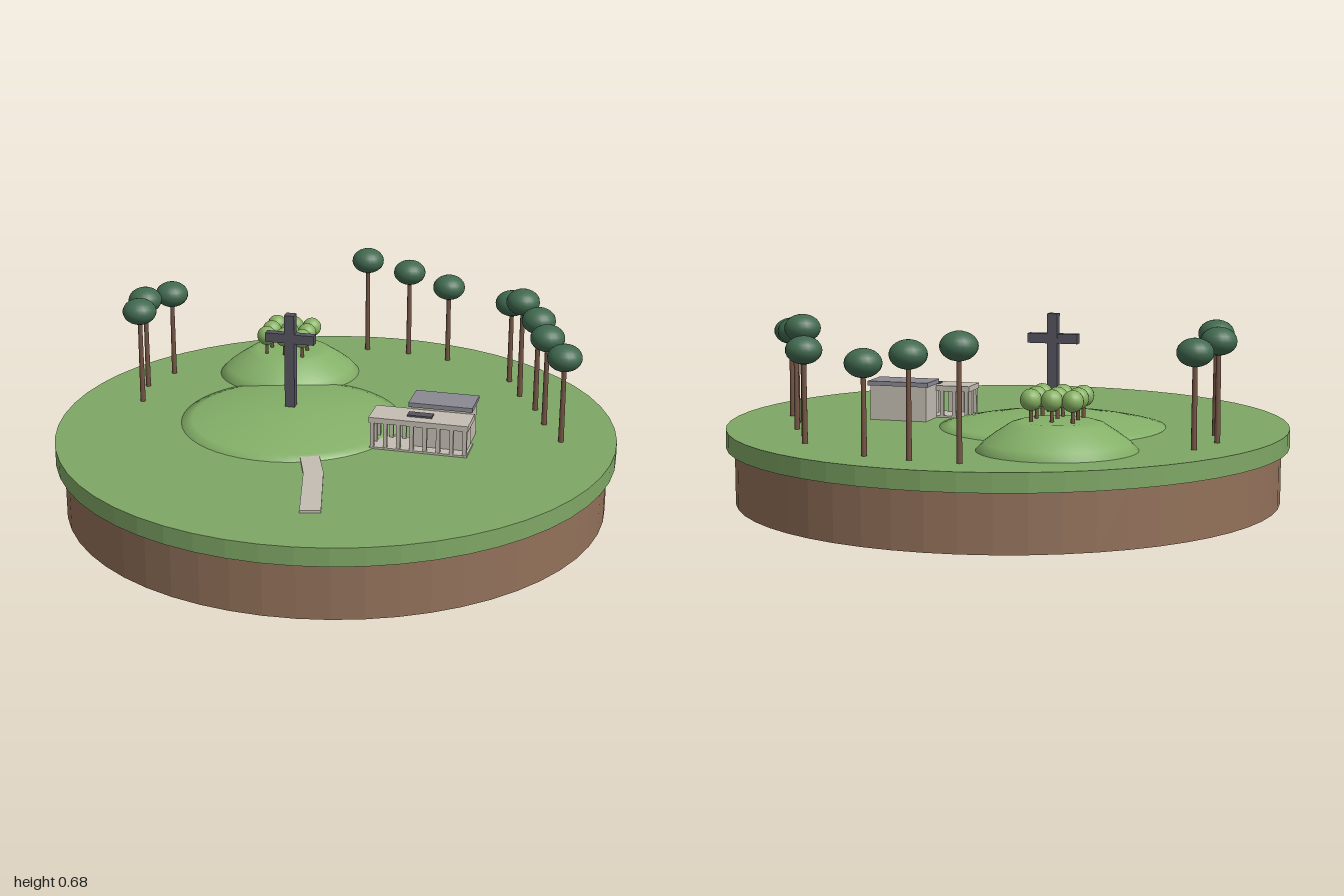
import * as THREE from 'three';

const mat = (name, color) => {
  const m = new THREE.MeshStandardMaterial({ color });
  m.name = name;
  return m;
};

export function createModel() {
  const M = {
    grass: mat('grass green', 0x7fa765),
    mound: mat('mound green', 0x84b068),
    soil: mat('soil brown', 0x92715a),
    trunk: mat('trunk brown', 0x745544),
    leaf: mat('dark leaf green', 0x41694f),
    bush: mat('bush green', 0x86b062),
    stone: mat('pale stone', 0xc4bdb2),
    roof: mat('roof grey', 0x8b8a93),
    dark: mat('dark grey', 0x56545f),
  };
  const GROUND = 0.265;
  const model = new THREE.Group();
  model.name = 'hilltopMemorial';

  const add = (parent, name, geo, material, x = 0, y = 0, z = 0) => {
    const mesh = new THREE.Mesh(geo, material);
    mesh.name = name;
    mesh.position.set(x, y, z);
    parent.add(mesh);
    return mesh;
  };
  const group = (name, x, y, z, turn = 0) => {
    const g = new THREE.Group();
    g.name = name;
    g.position.set(x, y, z);
    g.rotation.y = turn;
    model.add(g);
    return g;
  };
  // Box given by its bottom and top heights
  const block = (parent, name, w, d, y0, y1, material, x = 0, z = 0) =>
    add(parent, name, new THREE.BoxGeometry(w, y1 - y0, d), material, x, (y0 + y1) / 2, z);
  // Faceted disc
  const disc = (name, r, y0, y1, material) => {
    const geo = new THREE.CylinderGeometry(r, r, y1 - y0, 56).toNonIndexed();
    geo.computeVertexNormals();
    add(model, name, geo, material, 0, (y0 + y1) / 2, 0);
  };

  // Round island
  disc('soilBase', 0.97, 0, 0.2, M.soil);
  disc('grassTop', 1, 0.2, GROUND, M.grass);

  // Mounds, with a hidden skirt that rounds the rim
  const mound = (name, profile, x, z, sx, sz) => {
    const points = profile.map(([r, y]) => new THREE.Vector2(r, y));
    add(model, name, new THREE.LatheGeometry(points, 48), M.mound, x, 0, z).scale.set(sx, 1, sz);
  };
  mound('wideMound', [[0.4, 0.23], [0.4, 0.266], [0.36, 0.276], [0.29, 0.29], [0.2, 0.304], [0.1, 0.316], [0, 0.32]],
    -0.152, -0.092, 1, 1);
  mound('backHill', [[0.26, 0.22], [0.26, 0.266], [0.235, 0.293], [0.2, 0.32], [0.15, 0.354], [0.12, 0.363], [0, 0.367]],
    -0.123, -0.598, 1.03, 0.95);

  // Cross on the wide mound
  const turn = -0.35;
  const cross = group('cross', -0.154, 0, -0.094, turn);
  block(cross, 'post', 0.036, 0.036, 0.28, 0.665, M.dark);
  block(cross, 'crossbar', 0.18, 0.03, 0.56, 0.594, M.dark);

  // Pavilion: flat-roofed colonnade with a taller block behind
  const house = group('pavilion', 0.28, 0, 0.21, turn);
  block(house, 'colonnadeFloor', 0.345, 0.118, GROUND - 0.01, 0.272, M.stone);
  block(house, 'colonnadeRoof', 0.352, 0.122, 0.362, 0.382, M.stone);
  block(house, 'innerRoom', 0.2, 0.07, 0.27, 0.364, M.stone, 0.065, -0.02);
  block(house, 'skylight', 0.088, 0.036, 0.38, 0.388, M.dark, -0.004, 0.002);
  for (let i = 0; i < 8; i++) {
    const x = -0.164 + (i * 0.328) / 7;
    block(house, 'frontColumn', 0.014, 0.014, 0.27, 0.364, M.stone, x, 0.05);
    if (i < 3) block(house, 'backColumn', 0.014, 0.014, 0.27, 0.364, M.stone, x, -0.05);
  }
  block(house, 'sideColumn', 0.014, 0.014, 0.27, 0.364, M.stone, -0.164, 0);
  block(house, 'rearBlock', 0.212, 0.118, GROUND - 0.01, 0.392, M.stone, 0.055, -0.116);
  block(house, 'rearRoof', 0.228, 0.13, 0.39, 0.406, M.roof, 0.055, -0.116);

  // Bent footpath
  const path = new THREE.Shape([
    [-0.15, 0.28], [-0.083, 0.28], [-0.081, 0.42], [-0.116, 0.73], [-0.186, 0.724], [-0.15, 0.42],
  ].map(([x, z]) => new THREE.Vector2(x, -z)));
  const pathGeo = new THREE.ExtrudeGeometry(path, { depth: 0.014, bevelEnabled: false });
  pathGeo.rotateX(-Math.PI / 2);
  add(model, 'footpath', pathGeo, M.stone, 0, 0.26, 0);

  // Tall trees: x, z, height of the crown centre
  const trunkGeo = new THREE.CylinderGeometry(0.008, 0.01, 1, 10);
  const crownGeo = new THREE.SphereGeometry(0.062, 20, 14);
  crownGeo.scale(1, 0.77, 1);
  [
    [-0.57, -0.62, 0.585], [-0.67, -0.49, 0.607], [-0.69, -0.33, 0.615],
    [0.205, -0.825, 0.635], [0.362, -0.76, 0.602], [0.505, -0.67, 0.565],
    [0.705, -0.41, 0.578], [0.715, -0.25, 0.635], [0.746, -0.105, 0.61],
    [0.75, 0.04, 0.593], [0.777, 0.207, 0.578],
  ].forEach(([x, z, y]) => {
    const tree = group('tallTree', x, 0, z);
    const h = y - GROUND;
    add(tree, 'trunk', trunkGeo, M.trunk, 0, GROUND + h / 2, 0).scale.y = h;
    add(tree, 'crown', crownGeo, M.leaf, 0, y, 0);
  });

  // Grove of small round trees on the back hill
  const stemGeo = new THREE.CylinderGeometry(0.006, 0.007, 0.08, 8);
  const ballGeo = new THREE.SphereGeometry(0.036, 16, 12);
  const grove = group('grove', -0.125, 0, -0.58, turn);
  for (let i = -1; i <= 1; i++) {
    for (let j = -1; j <= 1; j++) {
      const x = i * 0.07, z = j * 0.07;
      add(grove, 'groveStem', stemGeo, M.trunk, x, 0.39, z);
      add(grove, 'groveCrown', ballGeo, M.bush, x, 0.435, z);
    }
  }
  return model;
}
